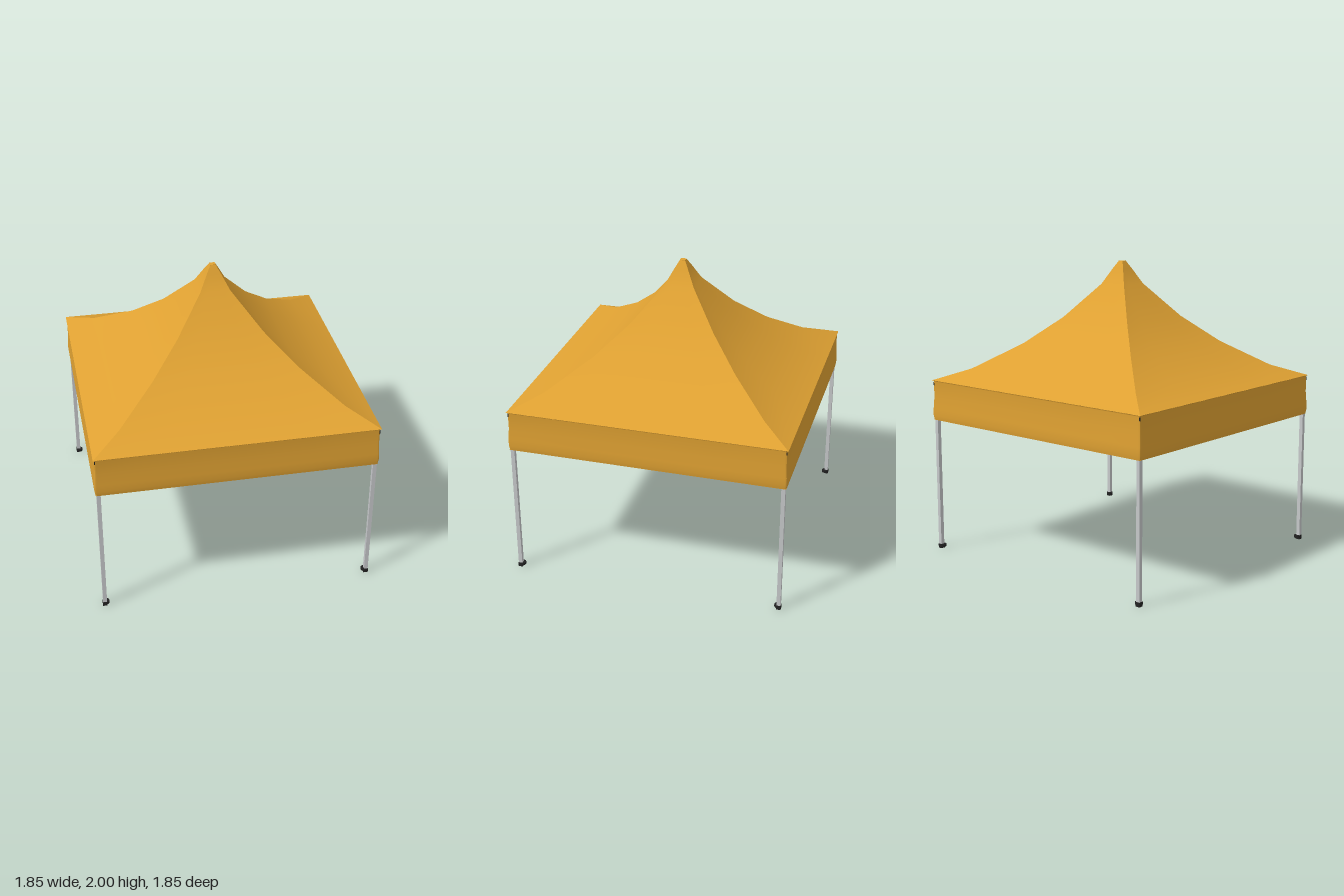
import * as THREE from 'three';

const mat = (name, color, extra = {}) => new THREE.MeshStandardMaterial({ name, color, ...extra });

// Four-sided fabric skin from a bottom-up profile of [halfWidth, y];
// each side has its own vertices, so it is smooth upward and creased at the corners.
function skin(profile, inward = false, pull = 0) {
  const cols = [-1, -0.985, -0.5, 0, 0.5, 0.985, 1];
  const pos = [], idx = [];
  for (let s = 0; s < 4; s++) {
    const c = Math.round(Math.cos(s * Math.PI / 2)), n = Math.round(Math.sin(s * Math.PI / 2));
    const base = pos.length / 3;
    for (const [r, y] of profile) {
      for (const u of cols) {
        const corner = Math.abs(u) === 1 ? pull : 0;
        const x = u * (r - corner), z = r - corner;
        pos.push(x * c + z * n, y, z * c - x * n);
      }
    }
    for (let j = 0; j < profile.length - 1; j++) {
      for (let i = 0; i < cols.length - 1; i++) {
        const a = base + j * cols.length + i, b = a + 1, d = a + cols.length, e = d + 1;
        if (inward) idx.push(a, e, b, a, d, e);
        else idx.push(a, b, e, a, e, d);
      }
    }
  }
  const g = new THREE.BufferGeometry();
  g.setAttribute('position', new THREE.Float32BufferAttribute(pos, 3));
  g.setIndex(idx);
  g.computeVertexNormals();
  return g;
}

export function createModel() {
  const group = new THREE.Group();
  group.name = 'canopyTent';

  const fabric = mat('orange fabric', 0xdfa132);
  const lining = mat('grey lining', 0xd2d3d4);
  const metal = mat('light metal', 0xc6c8ca);
  const black = mat('black plastic', 0x222222);

  const add = (name, geometry, material, x = 0, y = 0, z = 0) => {
    const m = new THREE.Mesh(geometry, material);
    m.name = name;
    m.position.set(x, y, z);
    group.add(m);
    return m;
  };
  const box = (name, w, h, d, material, x, y, z) =>
    add(name, new THREE.BoxGeometry(w, h, d), material, x, y, z);

  // Slim bar between two points
  const bar = (name, a, b, thickness) => {
    const p = new THREE.Vector3(...a), q = new THREE.Vector3(...b);
    const m = box(name, thickness, thickness, p.distanceTo(q), metal, 0, 0, 0);
    m.position.copy(p).lerp(q, 0.5);
    m.lookAt(q);
  };

  // Fabric: swept roof, hanging valance and the pale inside
  const roof = [[0.924, 1.193], [0.73, 1.272], [0.48, 1.442], [0.285, 1.62],
    [0.1, 1.845], [0.045, 1.95], [0.018, 1.998]];
  const valance = [[0.919, 0.92], [0.924, 0.95], [0.923, 1.0], [0.918, 1.08], [0.918, 1.185], [0.924, 1.194]];
  const inner = (p, dy) => p.map(([r, y]) => [Math.max(r - 0.006, 0.004), y - dy]);
  add('roof', skin(roof), fabric);
  add('valance', skin(valance, false, 0.004), fabric);
  add('roofLining', skin(inner(roof, 0.006), true), lining);
  add('valanceLining', skin(inner(valance, 0), true, 0.004), lining);
  box('peakCap', 0.036, 0.006, 0.036, fabric, 0, 1.997, 0);

  // Valance hem closes the gap between the two layers
  for (const s of [-1, 1]) {
    box('hem', 1.83, 0.003, 0.006, fabric, 0, 0.9205, s * 0.916);
    box('hem', 0.006, 0.003, 1.83, fabric, s * 0.916, 0.9205, 0);
  }

  const L = 0.9, LOW = 0.98, HIGH = 1.17;
  const joint = (x, y, z, size = 0.032) => box('joint', size, 0.022, size, black, x, y, z);

  // Legs with feet and sliding brackets
  for (const sx of [-1, 1]) {
    for (const sz of [-1, 1]) {
      const x = sx * L, z = sz * L;
      box('leg', 0.026, 1.16, 0.026, metal, x, 0.6, z);
      box('footSleeve', 0.03, 0.03, 0.03, black, x, 0.015, z);
      add('footPlate', new THREE.CylinderGeometry(0.024, 0.024, 0.016, 12), black, sx * 0.893, 0.019, sz * 0.893);
      joint(x, LOW, z);
      joint(x, HIGH, z);
    }
  }

  // Scissor pair crossing between two posts
  const scissor = (ax, az, bx, bz) => {
    bar('trussBar', [ax, HIGH, az], [bx, LOW, bz], 0.012);
    bar('trussBar', [ax, LOW, az], [bx, HIGH, bz], 0.012);
    box('pivot', 0.018, 0.016, 0.018, black, (ax + bx) / 2, (LOW + HIGH) / 2, (az + bz) / 2);
  };
  const T = 0.885;
  for (let s = 0; s < 4; s++) {
    const dx = [1, 0, -1, 0][s], dz = [0, 1, 0, -1][s];
    const mx = dx * T, mz = dz * T;
    for (const k of [-1, 1]) scissor(mx, mz, mx + k * dz * T, mz + k * dx * T);
    scissor(mx, mz, 0, 0);
    bar('sidePost', [mx, LOW, mz], [mx, HIGH, mz], 0.01);
    joint(mx, LOW, mz, 0.024);
    joint(mx, HIGH, mz, 0.024);
  }

  // Centre pole holding up the peak
  box('centrePole', 0.022, 1.0, 0.022, metal, 0, 1.47, 0);
  joint(0, LOW, 0, 0.04);
  joint(0, HIGH, 0, 0.04);

  return group;
}
